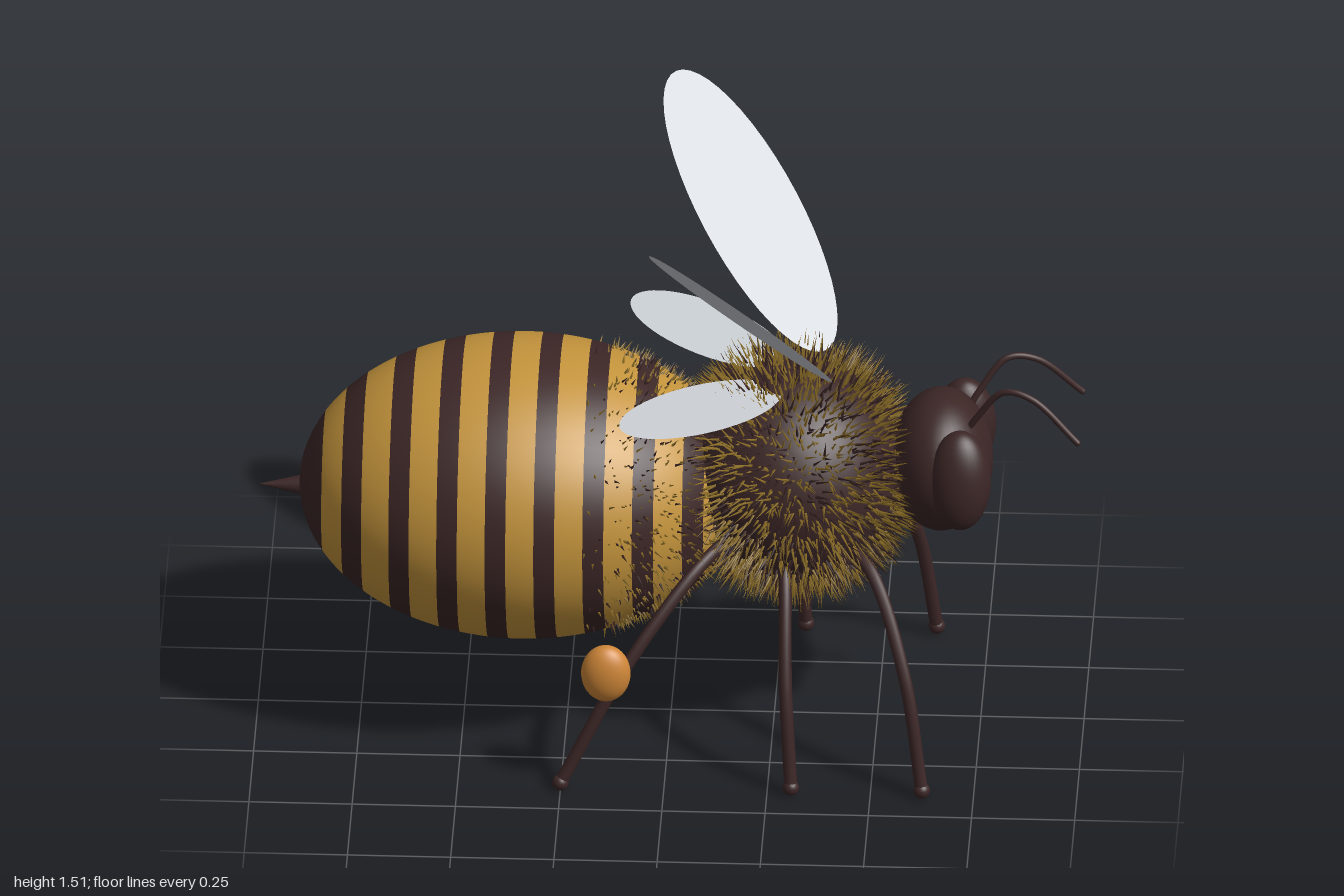
import * as THREE from 'three';
import { mergeGeometries } from 'three/addons/utils/BufferGeometryUtils.js';

const mat = (name, color, side = THREE.FrontSide) => {
  const m = new THREE.MeshStandardMaterial({ color, side });
  m.name = name;
  return m;
};
const V = (x, y, z) => new THREE.Vector3(x, y, z);

export function createModel() {
  const brown = mat('dark brown', 0x3c2626);
  const gold = mat('gold', 0xc4943c);
  const hairGold = mat('hair gold', 0x96762a);
  const pollen = mat('pollen orange', 0xce8638);
  const wingGrey = mat('wing grey', 0xccd1d6, THREE.DoubleSide);

  const model = new THREE.Group();
  model.name = 'bee';
  const add = (name, geometry, material, parent = model) => {
    const mesh = new THREE.Mesh(geometry, material);
    mesh.name = name;
    parent.add(mesh);
    return mesh;
  };
  const ellipsoid = (name, c, r, material, parent) => {
    const mesh = add(name, new THREE.SphereGeometry(1, 32, 24).scale(...r), material, parent);
    mesh.position.set(...c);
    return mesh;
  };
  const tube = (name, points, r, material, parent) =>
    add(name, new THREE.TubeGeometry(new THREE.CatmullRomCurve3(points), 28, r, 10), material, parent);

  let seed = 7;
  const random = () => (seed = (seed * 16807) % 2147483647) / 2147483647;

  // Abdomen: an ellipsoid cut into bands along x
  const AC = [-0.36, 0.615, 0], AR = [0.54, 0.37, 0.38];
  const abdomen = new THREE.Group();
  abdomen.name = 'abdomen';
  model.add(abdomen);
  const band = (name, x0, x1, material) => {
    const angle = x => Math.acos(THREE.MathUtils.clamp((x - AC[0]) / AR[0], -1, 1));
    const t = angle(x1);
    const g = new THREE.SphereGeometry(1, 64, 6, 0, Math.PI * 2, t, angle(x0) - t);
    g.rotateZ(-Math.PI / 2).scale(...AR).translate(...AC);
    add(name, g, material, abdomen);
  };
  const PERIOD = 0.118, DARK = 0.05;
  band('abdomenTip', -0.9, -0.84, brown);
  band('goldStripe', -0.84, -0.789, gold);
  for (let k = 0; k < 8; k++) {
    const x = -0.789 + k * PERIOD;
    band('darkStripe', x, x + DARK, brown);
    band('goldStripe', x + DARK, k === 7 ? 0.18 : x + PERIOD, gold);
  }

  // Stinger
  add('stinger', new THREE.ConeGeometry(0.028, 0.12, 16).rotateZ(Math.PI / 2)
    .translate(-0.94, 0.602, 0), brown);

  // Thorax
  const TC = [0.3, 0.68, 0], TR = [0.27, 0.28, 0.275];
  ellipsoid('thorax', TC, TR, brown);

  // Fur: thin spikes spread evenly over an ellipsoid
  const up = V(0, 1, 0);
  const fur = (name, c, r, count, lengths, radius, keep) => {
    const parts = [[], []];
    for (let i = 0; i < count; i++) {
      const h = 1 - 2 * (i + 0.5) / count, a = i * 2.399963 + random() * 0.3;
      const s = Math.sqrt(1 - h * h);
      const d = V(h, s * Math.cos(a), s * Math.sin(a));
      const p = V(c[0] + d.x * r[0], c[1] + d.y * r[1], c[2] + d.z * r[2]);
      const n = V(d.x / r[0], d.y / r[1], d.z / r[2]).normalize();
      n.add(V(random() - 0.5, random() - 0.5, random() - 0.5).multiplyScalar(0.6)).normalize();
      if (!keep(p)) continue;
      const len = lengths[0] + random() * (lengths[1] - lengths[0]);
      const g = new THREE.ConeGeometry(radius, len, 3, 1, true).translate(0, len / 2 - 0.004, 0);
      g.applyQuaternion(new THREE.Quaternion().setFromUnitVectors(up, n));
      parts[random() < 0.68 ? 0 : 1].push(g.translate(p.x, p.y, p.z));
    }
    add(name + 'Light', mergeGeometries(parts[0]), hairGold);
    add(name + 'Dark', mergeGeometries(parts[1]), brown);
  };
  fur('thoraxFur', TC, TR, 4200, [0.035, 0.085], 0.0042, () => true);
  fur('abdomenFur', AC, AR, 5200, [0.012, 0.035], 0.004,
    p => p.x > -0.2 + random() * 0.12 && p.x < 0.12);

  // Head
  const head = new THREE.Group();
  head.name = 'head';
  model.add(head);
  ellipsoid('skull', [0.655, 0.715, 0], [0.125, 0.175, 0.175], brown, head);

  // Flat elliptical wing spanned by a long and a wide direction
  const wing = (name, c, along, across, length, width) => {
    const x = along.normalize();
    const z = x.clone().cross(across).normalize();
    const y = z.clone().cross(x);
    const mesh = add(name, new THREE.CircleGeometry(1, 48).scale(length, width, 1), wingGrey);
    mesh.applyMatrix4(new THREE.Matrix4().makeBasis(x, y, z).setPosition(...c));
  };

  // Paired parts
  for (const s of [1, -1]) {
    const side = s > 0 ? 'front' : 'back';
    const eye = ellipsoid(side + 'SideEye', [0.706, 0.735, 0.142 * s], [0.075, 0.128, 0.062], brown, head);
    eye.rotation.x = -0.12 * s;

    const tip = V(0.99, 0.838, 0.128 * s);
    tube(side + 'SideAntenna', [V(0.71, 0.81, 0.055 * s), V(0.745, 0.87, 0.066 * s),
      V(0.81, 0.95, 0.085 * s), V(0.88, 0.94, 0.102 * s), tip], 0.008, brown, head);
    ellipsoid(side + 'SideAntennaTip', tip.toArray(), [0.008, 0.008, 0.008], brown, head);

    const legs = {
      FrontLeg: [[0.44, 0.56, 0.17], [0.5, 0.52, 0.24], [0.58, 0.31, 0.355], [0.625, 0.02, 0.405]],
      MiddleLeg: [[0.28, 0.56, 0.17], [0.287, 0.5, 0.25], [0.293, 0.28, 0.36], [0.308, 0.02, 0.405]],
      HindLeg: [[0.13, 0.56, 0.17], [0.06, 0.51, 0.245], [-0.09, 0.32, 0.35], [-0.25, 0.02, 0.405]],
    };
    for (const [name, pts] of Object.entries(legs)) {
      const path = pts.map(([x, y, z]) => V(x, y, z * s));
      tube(side + 'Side' + name, path, 0.016, brown);
      ellipsoid(side + 'Side' + name + 'Foot', path[3].toArray(), [0.02, 0.02, 0.02], brown);
    }
    ellipsoid(side + 'SidePollenBasket', [-0.14, 0.325, 0.403 * s], [0.06, 0.075, 0.041], pollen);

    wing(side + 'SideForewing', [0.18, 1.24, 0.267 * s],
      V(-0.49, 0.704, 0.514 * s), V(0.72, -0.01, 0.69 * s), 0.386, 0.146);
    wing(side + 'SideHindwing', [0.08, 0.948, 0.198 * s],
      V(-0.78, 0.05, 0.62 * s), V(0.62, -0.01, 0.78 * s), 0.23, 0.11);
  }
  return model;
}
